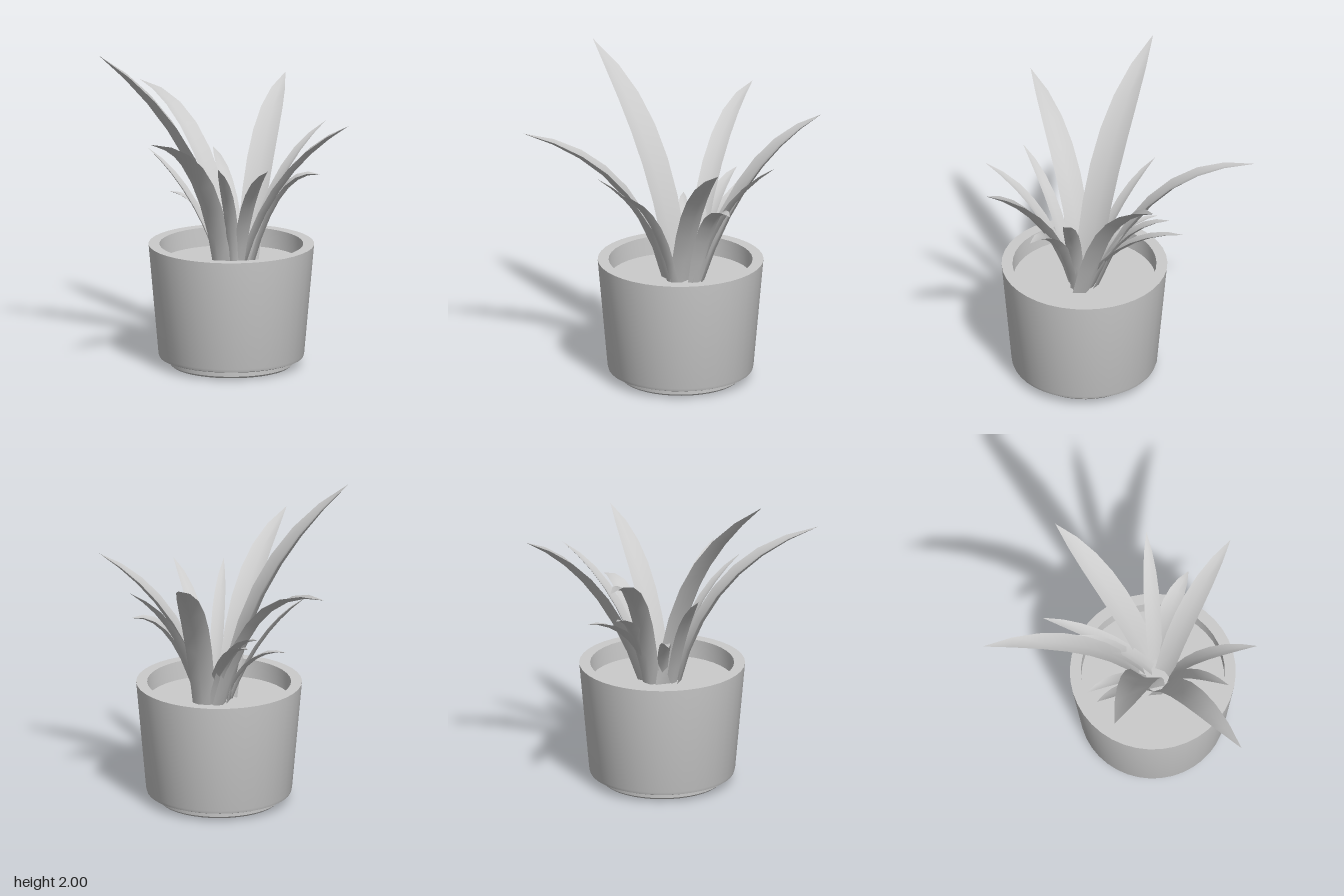
import * as THREE from 'three';
import { toCreasedNormals } from 'three/addons/utils/BufferGeometryUtils.js';

const material = new THREE.MeshStandardMaterial({ color: 0xcccccc });
const SOIL_Y = 0.65;

// Tapered, channelled blade swept along a curve that rises and bends outward.
// reach and rise place the bend as fractions of the span from base to tip.
function leafGeometry([bx, bz], [tx, ty, tz], reach, rise, width) {
  const base = new THREE.Vector3(bx, SOIL_Y - 0.02, bz);
  const tip = new THREE.Vector3(tx, ty, tz);
  const bend = base.clone().lerp(tip, reach);
  bend.y = base.y + (ty - base.y) * rise;
  const curve = new THREE.QuadraticBezierCurve3(base, bend, tip);
  const side = new THREE.Vector3(tx - bx, 0, tz - bz).normalize().cross(new THREE.Vector3(0, 1, 0));

  const positions = [], index = [], rings = 7;
  for (let i = 0; i <= rings; i++) {
    const t = i / rings;
    const p = curve.getPoint(t);
    const normal = side.clone().cross(curve.getTangent(t));
    const w = width * (0.76 + 0.46 * t) * (1 - Math.pow(t, 3.3));
    // edge, channel, edge, keel
    for (const [s, n] of [[0.5, 0], [0, -0.14], [-0.5, 0], [0, -0.28]]) {
      positions.push(...p.clone().addScaledVector(side, s * w).addScaledVector(normal, n * w).toArray());
    }
  }
  for (let i = 0; i < rings; i++) {
    for (let j = 0; j < 4; j++) {
      const a = i * 4 + j, b = i * 4 + (j + 1) % 4;
      index.push(a, a + 4, b);
      if (i < rings - 1) index.push(b, a + 4, b + 4);
    }
  }
  index.push(0, 1, 2, 0, 2, 3);
  const geometry = new THREE.BufferGeometry();
  geometry.setAttribute('position', new THREE.Float32BufferAttribute(positions, 3));
  geometry.setIndex(index);
  return toCreasedNormals(geometry, 1.1);
}

export function createModel() {
  const group = new THREE.Group();
  const add = (geometry, name, parent = group) => {
    const mesh = new THREE.Mesh(geometry, material);
    mesh.name = name;
    parent.add(mesh);
    return mesh;
  };

  // Pot: recessed foot, tapered wall, flat rim and hollow inside
  const planter = new THREE.Group();
  planter.name = 'planter';
  planter.position.set(0.117, 0, -0.052);
  group.add(planter);
  const profile = [
    [0, 0], [0.37, 0], [0.383, 0.012], [0.385, 0.045], [0.43, 0.05], [0.447, 0.057], [0.453, 0.075],
    [0.515, 0.77], [0.447, 0.77], [0.445, 0.64],
  ].map(([r, y]) => new THREE.Vector2(r, y));
  add(toCreasedNormals(new THREE.LatheGeometry(profile, 40), 0.6), 'pot', planter);

  // Soil
  const soil = add(new THREE.CircleGeometry(0.446, 40).rotateX(-Math.PI / 2), 'soil', planter);
  soil.position.y = SOIL_Y;

  // Leaves: base (x, z), tip (x, y, z), reach, rise, width
  const plant = new THREE.Group();
  plant.name = 'plant';
  group.add(plant);
  [
    [[0.1, -0.04], [-0.52, 2.0, 0.48], 0.18, 0.69, 0.23],
    [[0.1, 0.02], [0.13, 1.61, 0.93], 0.2, 0.85, 0.18],
    [[0.09, -0.12], [-0.84, 1.6, -0.52], 0.32, 1.0, 0.145],
    [[0.18, -0.04], [0.84, 1.57, -0.27], 0.28, 0.76, 0.16],
    [[0.17, -0.15], [-0.03, 1.665, -0.93], 0.34, 0.83, 0.19],
    [[0.19, -0.13], [0.45, 1.48, -0.63], 0.3, 0.75, 0.11],
    [[0.19, -0.14], [0.58, 1.21, -0.35], 0.37, 1.15, 0.14],
    [[0.16, -0.09], [-0.35, 1.22, -0.59], 0.37, 0.9, 0.1],
    [[0.12, -0.13], [-0.32, 1.22, -0.41], 0.37, 0.95, 0.11],
    [[0.1, -0.06], [-0.36, 1.04, -0.08], 0.4, 1.08, 0.08],
    [[0.08, 0.0], [-0.4, 1.35, 0.1], 0.36, 0.72, 0.09],
    [[0.18, 0.01], [0.34, 1.38, 0.47], 0.25, 0.72, 0.09],
    [[0.19, -0.01], [0.63, 1.38, 0.35], 0.28, 0.78, 0.1],
  ].forEach((leaf, i) => add(leafGeometry(...leaf), `leaf${i + 1}`, plant));

  return group;
}
